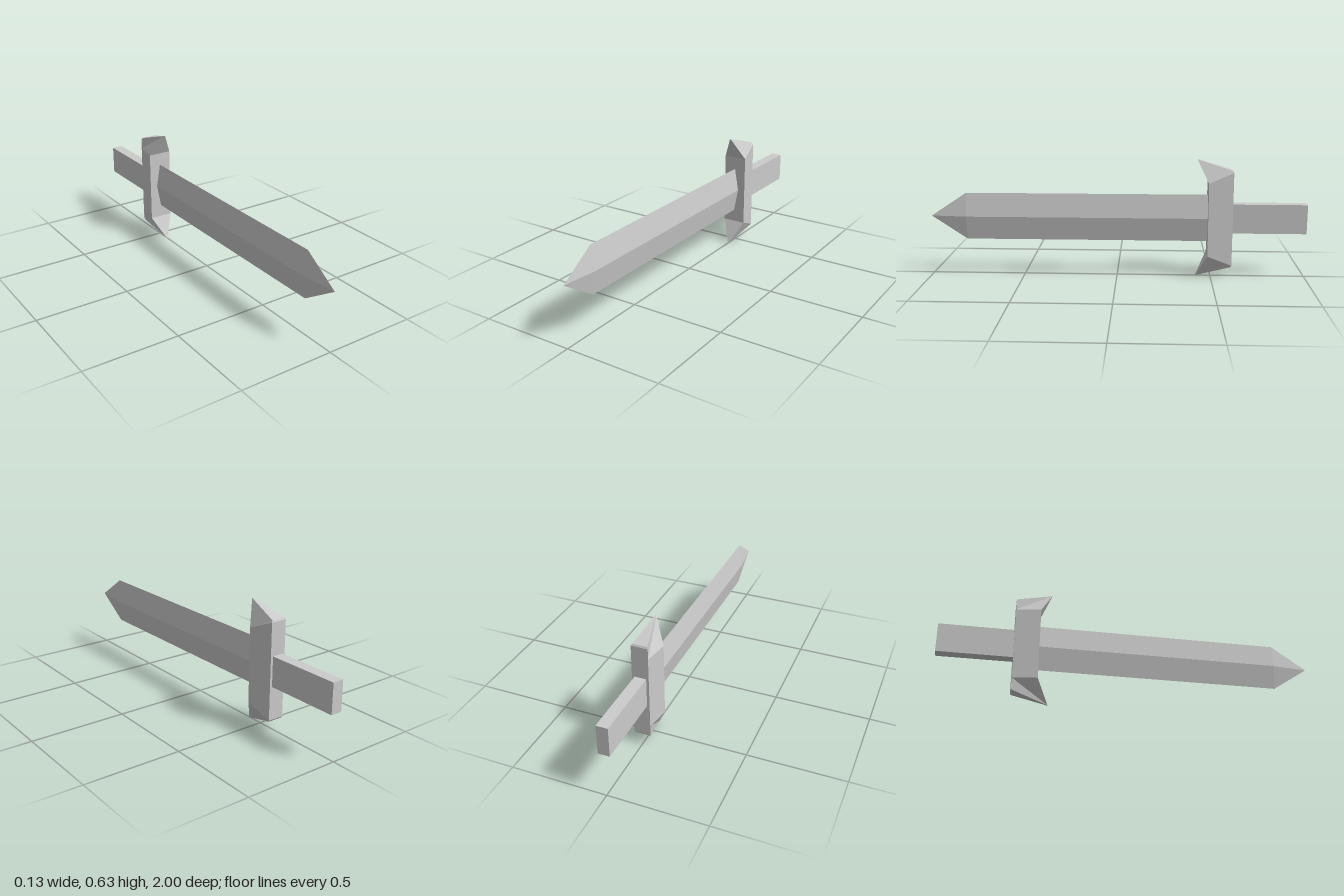
import * as THREE from 'three';

const MID = 0.316; // height of the sword's axis
const material = new THREE.MeshStandardMaterial({ color: 0xcccccc, flatShading: true });

function addPart(group, name, geometry) {
  const mesh = new THREE.Mesh(geometry, material);
  mesh.name = name;
  mesh.position.y = MID;
  group.add(mesh);
}

// Diamond-section blade with a pointed end, lying along z
function bladeGeometry() {
  const profile = [[0, -0.5], [1, -0.5], [1, 0.81], [0, 1]].map(([r, l]) => new THREE.Vector2(r, l));
  return new THREE.LatheGeometry(profile, 4).rotateX(Math.PI / 2).scale(0.0225, 0.126, 1);
}

// Crossguard: the upper half is described by its corners, then mirrored downwards
function guardGeometry() {
  const pair = (x, y, z) => [[-x, y, z], [x, y, z]];
  const [midFL, midFR] = pair(0.064, 0, -0.48);
  const [midBL, midBR] = pair(0.043, 0, -0.61);
  const [frontL, frontR] = pair(0.064, 0.195, -0.48);
  const [backL, backR] = pair(0.043, 0.25, -0.61);
  const [ridgeL, ridgeR] = pair(0.037, 0.259, -0.605);
  const [tipL, tipR] = pair(0.003, 0.316, -0.42);
  const shoulderL = [-0.043, 0.195, -0.61];
  const faces = [
    [midFL, midFR, frontR, frontL],    // front
    [frontL, frontR, tipR, tipL],      // inner slope of the horn
    [midFR, midBR, backR, frontR],     // +x side
    [frontR, backR, ridgeR, tipR],     // +x side of the horn
    [tipL, tipR, ridgeR, ridgeL],      // top of the horn
    [ridgeL, ridgeR, backR, backL],    // chamfer
    [midBR, midBL, backL, backR],      // back
    [midBL, midFL, frontL, shoulderL], // -x side
    [shoulderL, frontL, tipL],         // -x side of the horn
    [shoulderL, tipL, ridgeL, backL],
  ];
  const positions = [];
  for (const s of [1, -1]) {
    for (const face of faces) {
      for (let i = 1; i < face.length - 1; i++) {
        const tri = [face[0], face[i], face[i + 1]];
        if (s < 0) tri.reverse();
        for (const [x, y, z] of tri) positions.push(x, s * y, z);
      }
    }
  }
  const geometry = new THREE.BufferGeometry();
  geometry.setAttribute('position', new THREE.Float32BufferAttribute(positions, 3));
  geometry.computeVertexNormals();
  return geometry;
}

export function createModel() {
  const group = new THREE.Group();
  group.name = 'sword';
  addPart(group, 'blade', bladeGeometry());
  addPart(group, 'crossguard', guardGeometry());
  addPart(group, 'grip', new THREE.BoxGeometry(0.06, 0.156, 0.395).translate(0, 0.002, -0.8025));
  return group;
}
